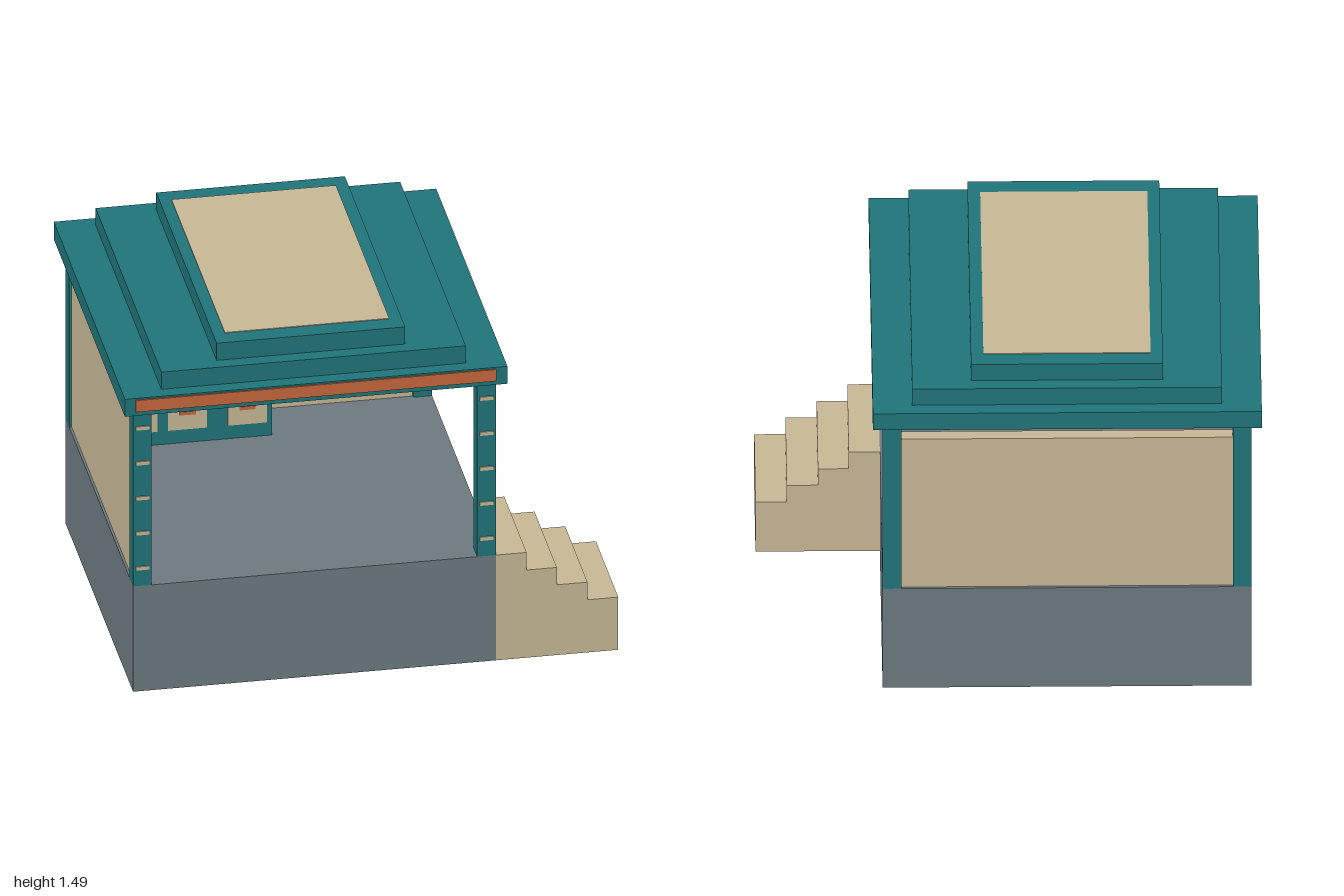
import * as THREE from 'three';

const material = (name, color) => {
  const m = new THREE.MeshStandardMaterial({ color });
  m.name = name;
  return m;
};

export function createModel() {
  const model = new THREE.Group();
  model.name = 'pavilion';
  const teal = material('teal', 0x20757a);
  const beige = material('beige', 0xc9b996);
  const grey = material('grey', 0x6d7a80);
  const orange = material('orange', 0xc9683c);

  // Box given by its extents along each axis
  const box = (name, mat, [x0, x1], [y0, y1], [z0, z1]) => {
    const mesh = new THREE.Mesh(new THREE.BoxGeometry(x1 - x0, y1 - y0, z1 - z0), mat);
    mesh.position.set((x0 + x1) / 2, (y0 + y1) / 2, (z0 + z1) / 2);
    mesh.name = name;
    model.add(mesh);
  };

  const floor = 0.472;
  const postsX = [[-0.96, -0.885], [0.43, 0.506]];
  const postsZ = [[-0.734, -0.656], [0.653, 0.73]];

  // Platform
  box('platform', grey, [-0.96, 0.506], [0, floor], [-0.734, 0.73]);

  // Steps descending on one side
  const stepX = [0.506, 0.63, 0.752, 0.876, 1];
  [floor, 0.393, 0.315, 0.236].forEach((h, i) =>
    box('step', beige, [stepX[i], stepX[i + 1]], [0, h], [0.245, 0.73]));

  // Corner posts, with inlaid bands on the front pair
  for (const px of postsX) {
    for (const pz of postsZ) box('post', teal, px, [floor, 1.257], pz);
    for (let i = 0; i < 5; i++) {
      const y = 0.552 + i * 0.157;
      box('postBand', beige, [px[0] + 0.01, px[1] - 0.01], [y - 0.008, y + 0.008], [0.729, 0.735]);
    }
  }

  // Low walls closing the back and one side
  box('backWall', beige, [-0.885, 0.43], [floor, 1.178], [-0.722, -0.667]);
  box('sideWall', beige, [-0.95, -0.895], [floor, 1.178], [-0.656, 0.653]);
  for (const x of [-0.668, -0.374, -0.08, 0.214])
    box('wallSeam', teal, [x - 0.003, x + 0.003], [0.52, 1.13], [-0.668, -0.663]);

  // Counter with three drawer fronts and handles
  box('counter', teal, [-0.812, -0.18], [floor, 0.706], [-0.637, -0.442]);
  for (const x of [-0.722, -0.522, -0.281]) {
    box('drawerFront', beige, [x - 0.079, x + 0.079], [0.533, 0.645], [-0.443, -0.437]);
    box('drawerHandle', orange, [x - 0.032, x + 0.032], [0.599, 0.614], [-0.438, -0.433]);
  }

  // Stepped roof with fascia stripe and top panel
  box('roofEave', teal, [-1, 0.545], [1.257, 1.335], [-0.775, 0.769]);
  box('roofMiddle', teal, [-0.842, 0.388], [1.335, 1.412], [-0.715, 0.711]);
  box('roofTop', teal, [-0.608, 0.154], [1.412, 1.489], [-0.657, 0.652]);
  box('roofPanel', beige, [-0.56, 0.104], [1.488, 1.492], [-0.583, 0.573]);
  box('fasciaStripe', orange, [-0.957, 0.5], [1.276, 1.328], [0.768, 0.775]);

  return model;
}
